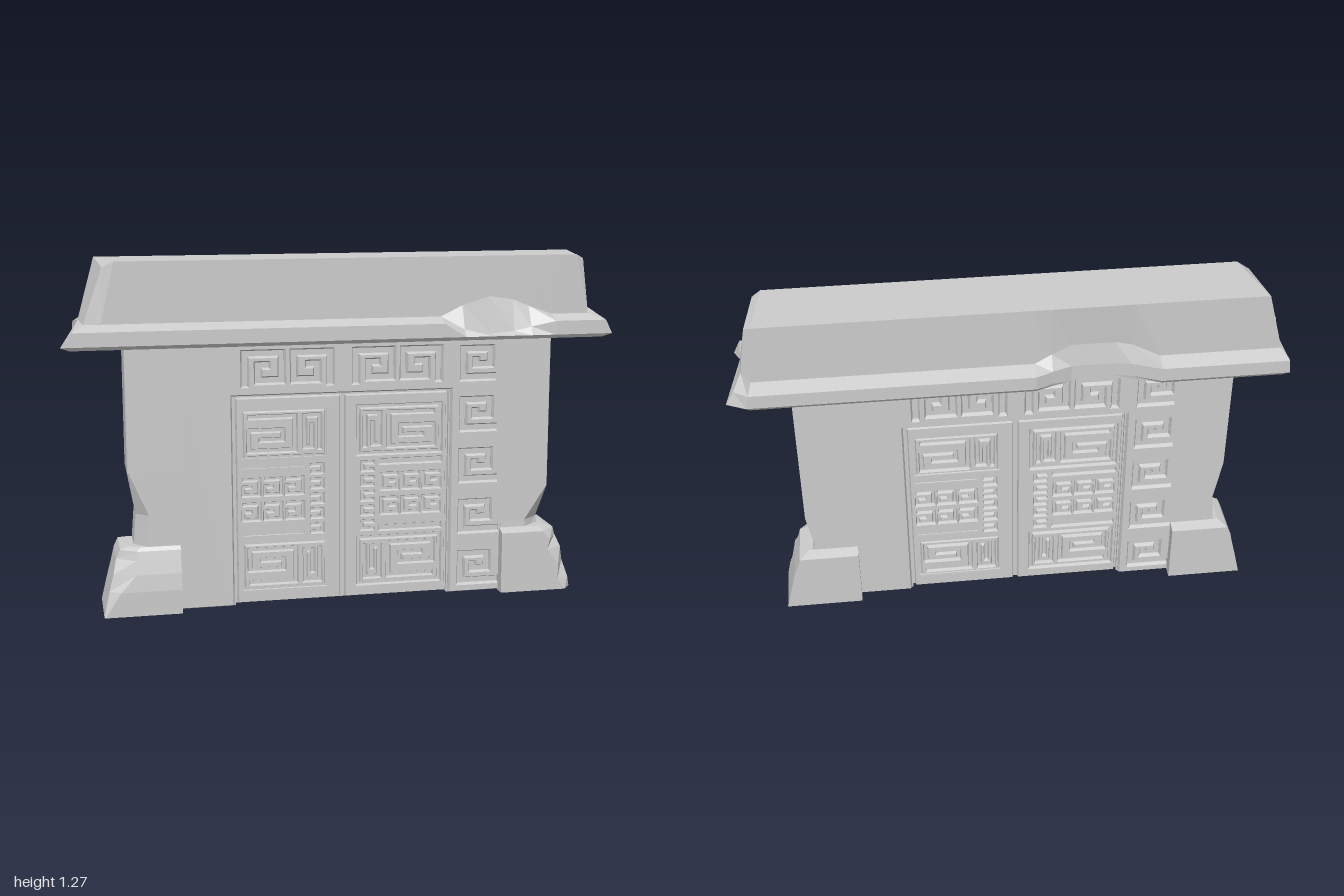
import * as THREE from 'three';

const mat = new THREE.MeshStandardMaterial({ color: 0xcccccc, flatShading: true, side: THREE.DoubleSide });

function add(group, name, geo) {
  const m = new THREE.Mesh(geo, mat);
  m.name = name;
  group.add(m);
  return m;
}

function box(group, name, x0, x1, y0, y1, z0, z1) {
  const g = new THREE.BoxGeometry(x1 - x0, y1 - y0, z1 - z0);
  g.translate((x0 + x1) / 2, (y0 + y1) / 2, (z0 + z1) / 2);
  return add(group, name, g);
}

// Skin a list of equal-length rings; rings turn counter-clockwise seen from the last one.
function loft(rings, capStart, capEnd) {
  const pos = [];
  const tri = (...p) => p.forEach(v => pos.push(...v));
  const n = rings[0].length;
  for (let r = 0; r + 1 < rings.length; r++) {
    for (let i = 0; i < n; i++) {
      const j = (i + 1) % n, a = rings[r], b = rings[r + 1];
      tri(a[i], a[j], b[j]);
      tri(a[i], b[j], b[i]);
    }
  }
  const cap = (ring, flip) => {
    const c = [0, 1, 2].map(k => ring.reduce((s, p) => s + p[k], 0) / n);
    ring.forEach((p, i) => {
      const q = ring[(i + 1) % n];
      flip ? tri(c, q, p) : tri(c, p, q);
    });
  };
  if (capStart) cap(rings[0], true);
  if (capEnd) cap(rings[rings.length - 1], false);
  const g = new THREE.BufferGeometry();
  g.setAttribute('position', new THREE.Float32BufferAttribute(pos, 3));
  g.computeVertexNormals();
  return g;
}

// Outline of a right-angled groove running along a centre line.
function strip(pts, w) {
  const P = pts.map(p => new THREE.Vector2(...p));
  const side = k => P.map((p, i) => {
    const dir = (a, b) => b.clone().sub(a).normalize();
    const d0 = i ? dir(P[i - 1], p) : dir(p, P[1]);
    const d1 = i < P.length - 1 ? dir(p, P[i + 1]) : d0;
    const nx = -d0.y - (d1.equals(d0) ? 0 : d1.y), ny = d0.x + (d1.equals(d0) ? 0 : d1.x);
    return new THREE.Vector2(p.x + nx * w * k, p.y + ny * w * k);
  });
  return [...side(1), ...side(-1).reverse()];
}

const rect = (x0, x1, y0, y1) => [[x0, y0], [x1, y0], [x1, y1], [x0, y1]].map(p => new THREE.Vector2(...p));
const mirror = (pts, s) => pts.map(p => new THREE.Vector2(p.x * s, p.y));
const at = (pts, x, y, sx = 1) => pts.map(p => [x + sx * p[0], y + p[1]]);

// Plate with bevelled cut-outs whose front lies at z = front.
function plate(group, name, outline, holes, front, bevel, thick) {
  const shape = new THREE.Shape(outline);
  holes.forEach(h => shape.holes.push(new THREE.Path(h)));
  const g = new THREE.ExtrudeGeometry(shape, {
    depth: 0.002, bevelEnabled: true, bevelSegments: 1,
    bevelSize: bevel, bevelOffset: -bevel, bevelThickness: thick
  });
  g.translate(0, 0, front - 0.002 - thick);
  add(group, name, g);
}

const SIDE_KEY = [[0, .013], [.147, .013], [.147, .117], [.045, .117], [.045, .06], [.1, .06], [.1, .085]];
const TOP_KEY = [[.012, 0], [.012, .117], [.145, .117], [.145, .02], [.06, .02], [.06, .075], [.1, .075]];
const HOOK = [[.085, .575], [.085, .7], [.14, .7], [.14, .585], [.113, .585], [.113, .67]];
const SPIRAL = [[.345, .7], [.175, .7], [.175, .575], [.345, .575], [.345, .65], [.22, .65], [.22, .615], [.305, .615]];
const SMALL_KEY = [[.065, .065], [.005, .065], [.005, .008], [.065, .008], [.065, .038], [.035, .038]];
const RUNG = [[.048, 0], [.005, 0], [.005, .028], [.048, .028]];

function createFacade() {
  const f = new THREE.Group();
  // wall plate around the door opening
  const outline = [[-.61, 0], [-.405, 0], [-.405, .78], [.405, .78], [.405, 0], [.61, 0], [.61, .98], [-.61, .98]]
    .map(p => new THREE.Vector2(...p));
  const wallHoles = [];
  for (const s of [-1, 1]) {
    for (const y of [.03, .23, .425, .62, .81]) wallHoles.push(strip(at(SIDE_KEY, .6 * s, y, -s), .01));
    wallHoles.push(strip(at(TOP_KEY, .37 * s, .815, -s), .01));
    wallHoles.push(strip(at(TOP_KEY, .035 * s, .815, s), .01));
    box(f, 'wallBacking', s < 0 ? -.61 : .4, s < 0 ? -.4 : .61, 0, .97, .035, .063);
  }
  plate(f, 'wallFretwork', outline, wallHoles, .08, .006, .014);
  box(f, 'lintelBacking', -.4, .4, .775, .97, .035, .063);
  box(f, 'doorBacking', -.41, .41, .005, .78, .03, .05);

  for (const s of [-1, 1]) {
    // door leaf with two pockets and the narrow fretwork between them
    const holes = [rect(.055, .375, .545, .73), rect(.055, .375, .05, .235),
      rect(.14, .375, .508, .526), rect(.14, .375, .256, .274)];
    for (let i = 0; i < 3; i++) for (const y of [.313, .405])
      holes.push(strip(at(SMALL_KEY, .143 + .08 * i, y), .004));
    for (let i = 0; i < 5; i++) holes.push(strip(at(RUNG, .07, .264 + .056 * i), .004));
    plate(f, 'doorLeaf', mirror(rect(.008, .392, .008, .772), s), holes.map(h => mirror(h, s)), .068, .004, .012);
    // raised panels in the pockets
    for (const up of [true, false]) {
      const fy = pts => pts.map(p => new THREE.Vector2(p.x * s, up ? p.y : .78 - p.y));
      plate(f, 'doorPanel', fy(rect(.065, .365, .555, .72)),
        [fy(strip(HOOK, .006)), fy(strip(SPIRAL, .006))], .066, .004, .012);
    }
  }
  return f;
}

// Level: [y, outer x, front z, back z, chip in x, chip in z]
function column(levels, s, capTop) {
  return loft(levels.map(([y, xo, zf, zb, cx, cz]) => {
    const ring = [[.6, y, zf], [xo - cx, y, zf], [xo, y, zf - cz], [xo, y, zb], [.6, y, zb]]
      .map(p => [p[0] * s, p[1], p[2]]);
    return s < 0 ? ring.reverse() : ring;
  }), false, capTop);
}

const RIGHT_PILLAR = [
  [0, .785, .08, -.08, .01, .01], [.2, .785, .08, -.08, .08, .05], [.27, .76, .078, -.08, .06, .05],
  [.4, .785, .08, -.08, .002, .002], [.975, .785, .08, -.08, .002, .002]];
const LEFT_PILLAR = [
  [0, .785, .08, -.08, .01, .01], [.24, .765, .08, -.08, .05, .05], [.36, .755, .08, -.08, .045, .04],
  [.52, .783, .08, -.08, .004, .004], [.975, .783, .08, -.08, .002, .002]];
const RIGHT_BASE = [
  [0, .885, .12, -.12, .03, .04], [.04, .875, .12, -.12, .05, .03], [.1, .86, .12, -.12, .035, .06],
  [.16, .845, .12, -.12, .065, .04], [.2, .83, .12, -.12, .04, .065], [.232, .82, .12, -.12, .06, .06],
  [.245, .785, .085, -.08, .03, .03]];
const LEFT_BASE = [
  [0, .88, .12, -.12, .005, .005], [.09, .858, .12, -.12, .04, .03], [.15, .842, .112, -.12, .08, .03],
  [.2, .83, .1, -.12, .07, .05], [.232, .815, .092, -.12, .06, .04], [.245, .785, .082, -.08, .04, .03]];

// Roof station: x of the five profile points (bottom to top) on each face, and chip depths.
function roofRing(xf, xb, chipF = 0, chipB = 0, topDrop = 0) {
  const front = [[.972, .165], [.985, .175], [1.035 - .045 * chipF, .175 - .035 * chipF],
    [1.055 + .07 * chipF, .12], [1.27 - topDrop, .12 - topDrop]];
  const edge = z => -z + (z - .12) * chipB;
  const back = [[.972, edge(.165)], [.985, edge(.175)], [1.035, edge(.175)],
    [1.055 + .06 * chipB, -.12 + .012 * chipB], [1.27, -.12]];
  return [...front.map((p, i) => [xf[i], ...p]).reverse(), ...back.map((p, i) => [xb[i], ...p])];
}

function createRoof() {
  const flat = x => Array(5).fill(x);
  const rings = [
    roofRing([-.97, -1, -.96, -.92, -.85], [-.93, -.955, -.95, -.93, -.87], 0, 0, .02),
    roofRing([-.93, -.95, -.93, -.86, -.81], [-.92, -.935, -.93, -.89, -.83])];
  // stations with the chipped ledge: [x, front chip, back chip]
  for (const [x, cf, cb] of [[-.5, 0, 0], [-.4, 0, .8], [-.34, 0, 1], [-.19, 0, 1], [-.12, 0, .5], [-.06, 0, 0],
    [.35, 0, 0], [.43, .55, 0], [.53, 1, 0], [.62, .8, 0], [.68, .45, 0], [.77, 0, 0]])
    rings.push(roofRing(flat(x), flat(x), cf, cb));
  rings.push(roofRing([.92, .94, .92, .87, .86], [.92, .93, .92, .91, .89]));
  rings.push(roofRing([.95, .985, .96, .91, .89], [.97, 1, .97, .94, .91], 0, .6, .015));
  return loft(rings, true, true);
}

export function createModel() {
  const model = new THREE.Group();
  model.name = 'stoneGate';

  const front = createFacade();
  front.name = 'frontFacade';
  const back = createFacade();
  back.name = 'backFacade';
  back.rotation.y = Math.PI;
  model.add(front, back);

  add(model, 'leftPillar', column(RIGHT_PILLAR, 1, true));
  add(model, 'rightPillar', column(LEFT_PILLAR, -1, true));
  add(model, 'leftBase', column(RIGHT_BASE, 1, true));
  add(model, 'rightBase', column(LEFT_BASE, -1, true));
  add(model, 'roofBeam', createRoof());
  return model;
}
